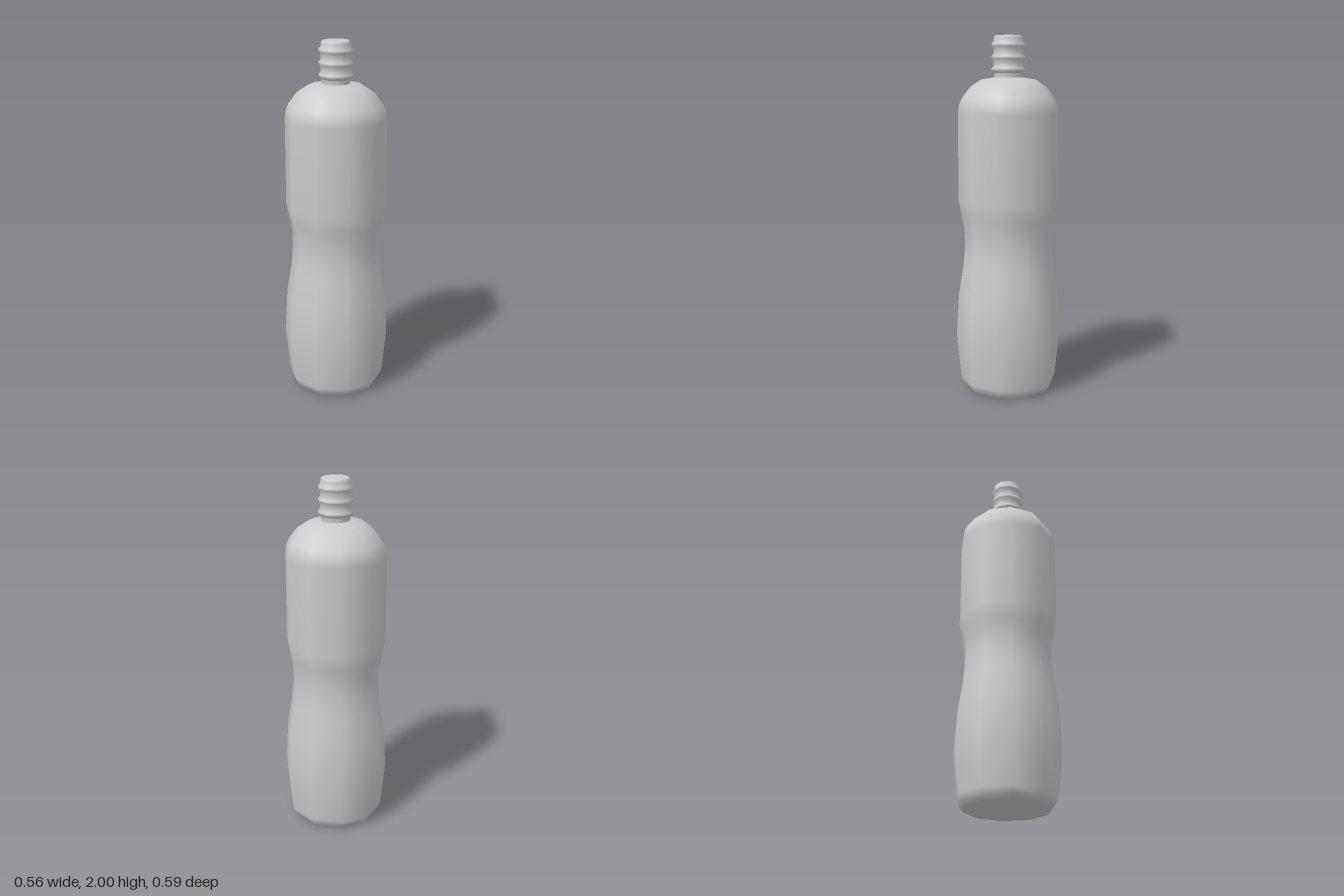
import * as THREE from 'three';

const SIDES = 10;

// Ten-sided smooth lathe from [radius, height] pairs, listed bottom to top
function turned(name, profile, material) {
  const points = profile.map(([r, y]) => new THREE.Vector2(r, y));
  const mesh = new THREE.Mesh(new THREE.LatheGeometry(points, SIDES), material);
  mesh.name = name;
  return mesh;
}

export function createModel() {
  const group = new THREE.Group();
  group.name = 'bottle';
  const material = new THREE.MeshStandardMaterial({ color: 0xcccccc, side: THREE.DoubleSide });

  // Body: chamfered base, swelling lower half, grip waist, rounded shoulder
  group.add(turned('body', [
    [0, 0], [0.235, 0], [0.255, 0.025], [0.272, 0.06],
    [0.297, 0.32], [0.282, 0.56], [0.256, 0.72], [0.247, 0.82], [0.248, 0.92],
    [0.263, 1.0], [0.28, 1.09], [0.28, 1.58],
    [0.274, 1.62], [0.257, 1.66], [0.212, 1.72], [0.152, 1.76], [0.08, 1.772],
  ], material));

  // Neck: straight tube with three rounded thread rings and a closed rim
  const neck = [[0.08, 1.77], [0.08, 1.795]];
  for (const y of [1.815, 1.88, 1.947]) {
    neck.push([0.083, y - 0.018], [0.094, y - 0.006], [0.094, y + 0.006], [0.083, y + 0.018]);
  }
  neck.push([0.081, 1.985], [0.078, 1.995], [0.07, 2], [0, 2]);
  group.add(turned('neck', neck, material));

  return group;
}
